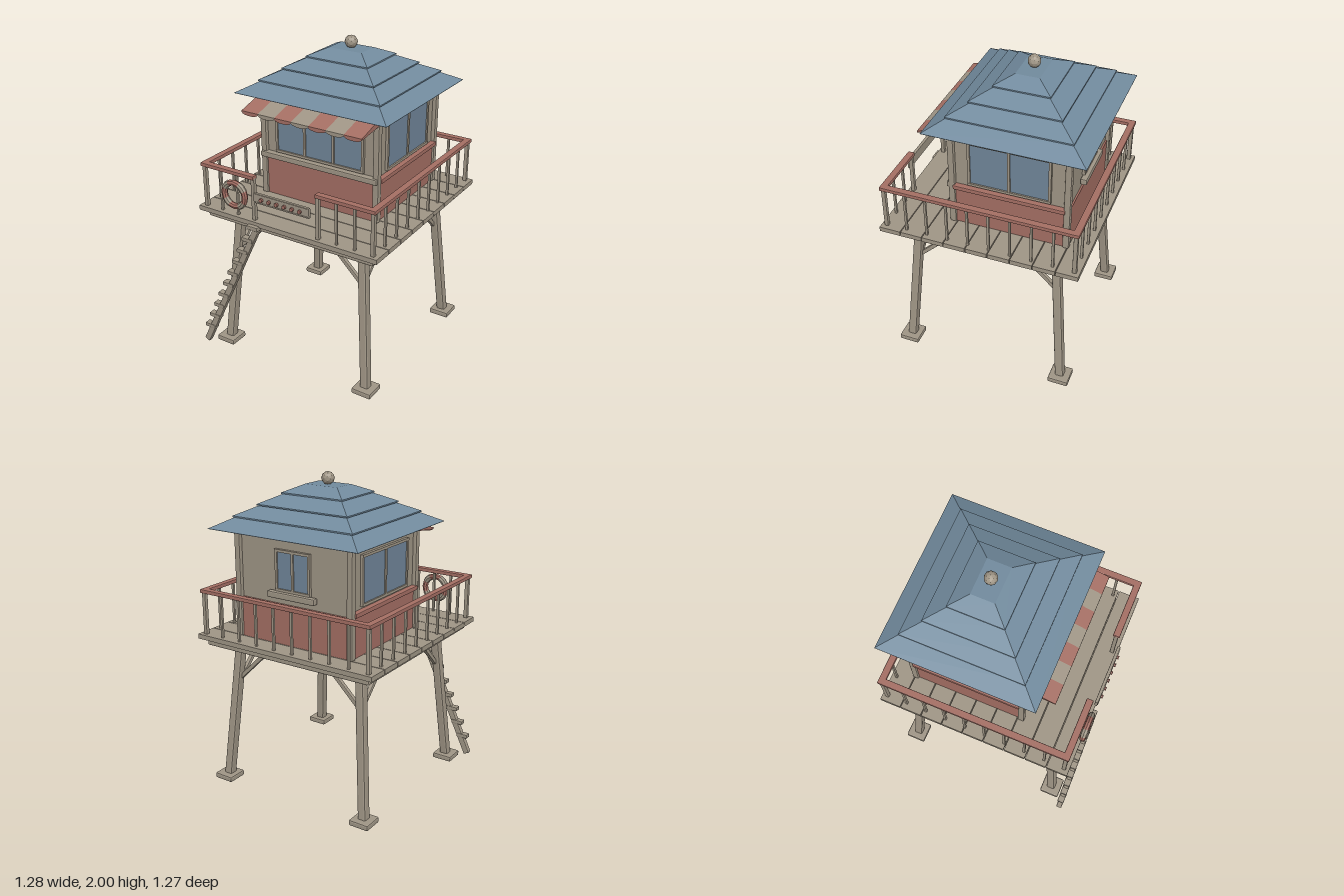
import * as THREE from 'three';
import { RoundedBoxGeometry } from 'three/addons/geometries/RoundedBoxGeometry.js';

const mat = (name, color) => {
  const m = new THREE.MeshStandardMaterial({ color, flatShading: true });
  m.name = name;
  return m;
};

export function createModel() {
  const wood = mat('weathered wood', 0xa09686);
  const red = mat('faded red', 0xa56f64);
  const slate = mat('slate blue', 0x728b9e);
  const glass = mat('window glass', 0x71869a);
  const model = new THREE.Group();
  const CX = 0.01, DZ = -0.015, CZ = -0.1375; // centre x, deck centre z, cabin centre z

  const group = (name, x = 0, y = 0, z = 0, parent = model) => {
    const g = new THREE.Group();
    g.name = name;
    g.position.set(x, y, z);
    parent.add(g);
    return g;
  };
  const add = (parent, name, geo, m, x = 0, y = 0, z = 0) => {
    const mesh = new THREE.Mesh(geo, m);
    mesh.name = name;
    mesh.position.set(x, y, z);
    parent.add(mesh);
    return mesh;
  };
  const box = (p, name, m, w, h, d, x, y, z) =>
    add(p, name, new THREE.BoxGeometry(w, h, d), m, x, y, z);
  // box with chamfered edges
  const block = (p, name, m, w, h, d, x, y, z, c = 0.2) =>
    add(p, name, new RoundedBoxGeometry(w, h, d, 1, Math.min(w, h, d) * c), m, x, y, z);
  // chamfered beam between two points
  const beam = (p, name, a, b, t, depth = t) => {
    const A = new THREE.Vector3(...a), B = new THREE.Vector3(...b), dir = B.clone().sub(A);
    const mesh = block(p, name, wood, t, dir.length(), depth, 0, 0, 0);
    mesh.position.copy(A).add(B).multiplyScalar(0.5);
    mesh.quaternion.setFromUnitVectors(new THREE.Vector3(0, 1, 0), dir.normalize());
    return mesh;
  };

  // Splayed legs with feet and two braces each
  const legs = group('legs', CX, 0, -0.01);
  for (const sx of [-1, 1]) for (const sz of [-1, 1]) {
    beam(legs, 'leg', [sx * 0.52, 0.003, sz * 0.52], [sx * 0.442, 0.95, sz * 0.442], 0.056);
    block(legs, 'foot', wood, 0.132, 0.036, 0.132, sx * 0.52, 0.029, sz * 0.52, 0.25);
    beam(legs, 'brace', [sx * 0.455, 0.70, sz * 0.45], [sx * 0.2, 0.95, sz * 0.45], 0.026);
    beam(legs, 'brace', [sx * 0.45, 0.70, sz * 0.455], [sx * 0.45, 0.95, sz * 0.2], 0.026);
  }

  // Deck: base slab and nine planks
  const deck = group('deck', CX, 0, DZ);
  block(deck, 'deckBase', wood, 1.175, 0.045, 1.175, 0, 0.958, 0);
  for (let i = 0; i < 9; i++)
    box(deck, 'plank', wood, 1.26, 0.03, 0.134, 0, 0.995, (i - 4) * 0.139);

  // Railing with an opening at the front
  const rail = group('railing', CX, 0, DZ);
  const R = 0.59, N = 9, step = (2 * R) / N;
  const post = (x, z, t) => block(rail, 'railPost', wood, t, 0.275, t, x, 1.145, z);
  for (let i = 0; i <= N; i++) {
    const p = -R + i * step, t = i % N ? 0.016 : 0.026;
    post(p, -R, t);
    if (i % N) { post(-R, p, t); post(R, p, t); }
  }
  for (const s of [-1, 1]) {
    for (const [x, t] of [[R, 0.026], [0.47, 0.016], [0.35, 0.016], [0.226, 0.026]]) post(s * x, R, t);
    block(rail, 'frontTopRail', red, 0.395, 0.024, 0.042, s * 0.4125, 1.285, R);
    block(rail, 'sideTopRail', red, 0.042, 0.024, 1.22, s * R, 1.285, 0);
  }
  block(rail, 'backTopRail', red, 1.22, 0.024, 0.042, 0, 1.285, -R);

  // Cabin body
  const cabin = group('cabin', CX, 0, CZ);
  const HX = 0.4, HZ = 0.355;
  box(cabin, 'walls', wood, 2 * HX - 0.01, 0.68, 2 * HZ - 0.01, 0, 1.345, 0);
  box(cabin, 'skirt', red, 2 * HX + 0.012, 0.25, 2 * HZ + 0.012, 0, 1.136, 0);
  for (const sx of [-1, 1]) for (const sz of [-1, 1])
    block(cabin, 'cornerPost', wood, 0.04, 0.66, 0.04, sx * HX, 1.34, sz * HZ);
  for (const s of [-1, 1]) {
    block(cabin, 'eaveBeam', wood, 2 * HX + 0.03, 0.03, 0.03, 0, 1.657, s * HZ);
    block(cabin, 'eaveBeam', wood, 0.03, 0.03, 2 * HZ + 0.03, s * HX, 1.657, 0);
    block(cabin, 'sideSill', red, 0.05, 0.028, 0.69, s * (HX + 0.005), 1.275, 0);
  }
  block(cabin, 'frontSill', wood, 0.83, 0.036, 0.05, 0, 1.278, HZ + 0.01);
  block(cabin, 'backSill', wood, 0.34, 0.04, 0.04, 0, 1.32, -HZ - 0.018);

  // Windows: panes between frame bars, facing local +z
  const addWindow = (name, x, z, turn, n, pw, y0, y1) => {
    const w = group(name, x, 0, z, cabin);
    w.rotation.y = turn;
    const gap = 0.016, total = n * pw + (n + 1) * gap, h = y1 - y0, y = (y0 + y1) / 2;
    for (let i = 0; i < n; i++)
      box(w, 'pane', glass, pw, h, 0.008, (i - (n - 1) / 2) * (pw + gap), y, 0);
    for (let i = 0; i <= n; i++)
      box(w, 'mullion', wood, gap, h, 0.02, (i - n / 2) * (pw + gap), y, 0.002);
    for (const yy of [y0 - gap / 2, y1 + gap / 2])
      box(w, 'frameRail', wood, total, gap, 0.024, 0, yy, 0.002);
  };
  addWindow('frontWindow', 0, HZ, 0, 3, 0.187, 1.32, 1.59);
  addWindow('leftWindow', HX, 0, Math.PI / 2, 2, 0.23, 1.32, 1.59);
  addWindow('rightWindow', -HX, 0, -Math.PI / 2, 2, 0.23, 1.32, 1.59);
  addWindow('backWindow', 0, -HZ, Math.PI, 2, 0.1, 1.355, 1.575);

  // Four-tier hipped roof of tapered slabs
  const roof = group('roof', CX, 0, CZ);
  const tiers = [[0.525, 0.483], [0.422, 0.378], [0.32, 0.278], [0.215, 0.173]];
  tiers.forEach(([bx, bz], i) => {
    const y0 = 1.678 + i * 0.064, y1 = y0 + (i < 3 ? 0.066 : 0.054);
    const inset = i < 3 ? 0.118 : 0.1;
    const g = new THREE.BoxGeometry(2, 1, 2, 1, 2, 1), p = g.attributes.position;
    for (let k = 0; k < p.count; k++) {
      const v = p.getY(k), d = v > 0.4 ? inset : 0;
      const y = v > 0.4 ? y1 : v < -0.4 ? y0 : y0 + (i ? 0.008 : 0.002);
      p.setXYZ(k, p.getX(k) * (bx - d), y, p.getZ(k) * (bz - d));
    }
    add(roof, 'roofTier', g, slate);
  });
  add(roof, 'finial', new THREE.IcosahedronGeometry(0.04, 1), wood, 0, 1.96, 0);

  // Striped awning with scalloped edge
  const awning = group('awning', CX, 0, 0);
  const SW = 0.83 / 7;
  const profile = new THREE.Shape([[-0.22, 1.668], [-0.22, 1.625], [-0.42, 1.602], [-0.42, 1.612]]
    .map(([x, y]) => new THREE.Vector2(x, y)));
  for (let i = 0; i < 7; i++) {
    const m = i % 2 ? wood : red, x = (i - 3) * SW;
    const stripe = new THREE.ExtrudeGeometry(profile, { depth: SW, bevelEnabled: false });
    stripe.rotateY(Math.PI / 2);
    add(awning, 'awningStripe', stripe, m, x - SW / 2);
    const flap = new THREE.CylinderGeometry(SW / 2, SW / 2, 0.006, 12, 1, false, -Math.PI / 2, Math.PI);
    flap.rotateX(Math.PI / 2);
    flap.scale(1, 0.32, 1);
    add(awning, 'scallop', flap, m, x, 1.606, 0.416);
  }

  // Ladder: one sloping stringer with treads
  const ladder = group('ladder', 0, 0, 0.612);
  beam(ladder, 'stringer', [-0.622, 0.025, 0], [-0.178, 0.965, 0], 0.042, 0.036);
  for (let i = 0; i < 10; i++)
    block(ladder, 'tread', wood, 0.08, 0.026, 0.044, -0.582 + i * 0.0424, 0.15 + i * 0.0917, 0);

  // Lifebuoy with four wrapped bands
  const buoy = group('lifebuoy', -0.33, 1.16, 0.614);
  add(buoy, 'ring', new THREE.TorusGeometry(0.076, 0.019, 8, 16), red);
  for (let i = 0; i < 4; i++) {
    const band = add(buoy, 'band', new THREE.TorusGeometry(0.076, 0.021, 8, 2, Math.PI / 5), wood);
    band.material = wood;
    band.rotation.z = Math.PI / 4 - Math.PI / 10 + i * Math.PI / 2;
  }

  // Front board with a row of pegs
  const board = group('pegBoard', CX, 1.18, 0.612);
  block(board, 'board', wood, 0.39, 0.064, 0.018, 0, 0, 0);
  for (const s of [-1, 1]) box(board, 'boardTrim', wood, 0.37, 0.008, 0.008, 0, s * 0.025, 0.008);
  for (let i = 0; i < 6; i++) {
    const peg = add(board, 'peg', new THREE.CylinderGeometry(0.012, 0.012, 0.016, 8), red, (i - 2.5) * 0.054, 0, 0.015);
    peg.rotation.x = Math.PI / 2;
  }
  return model;
}
